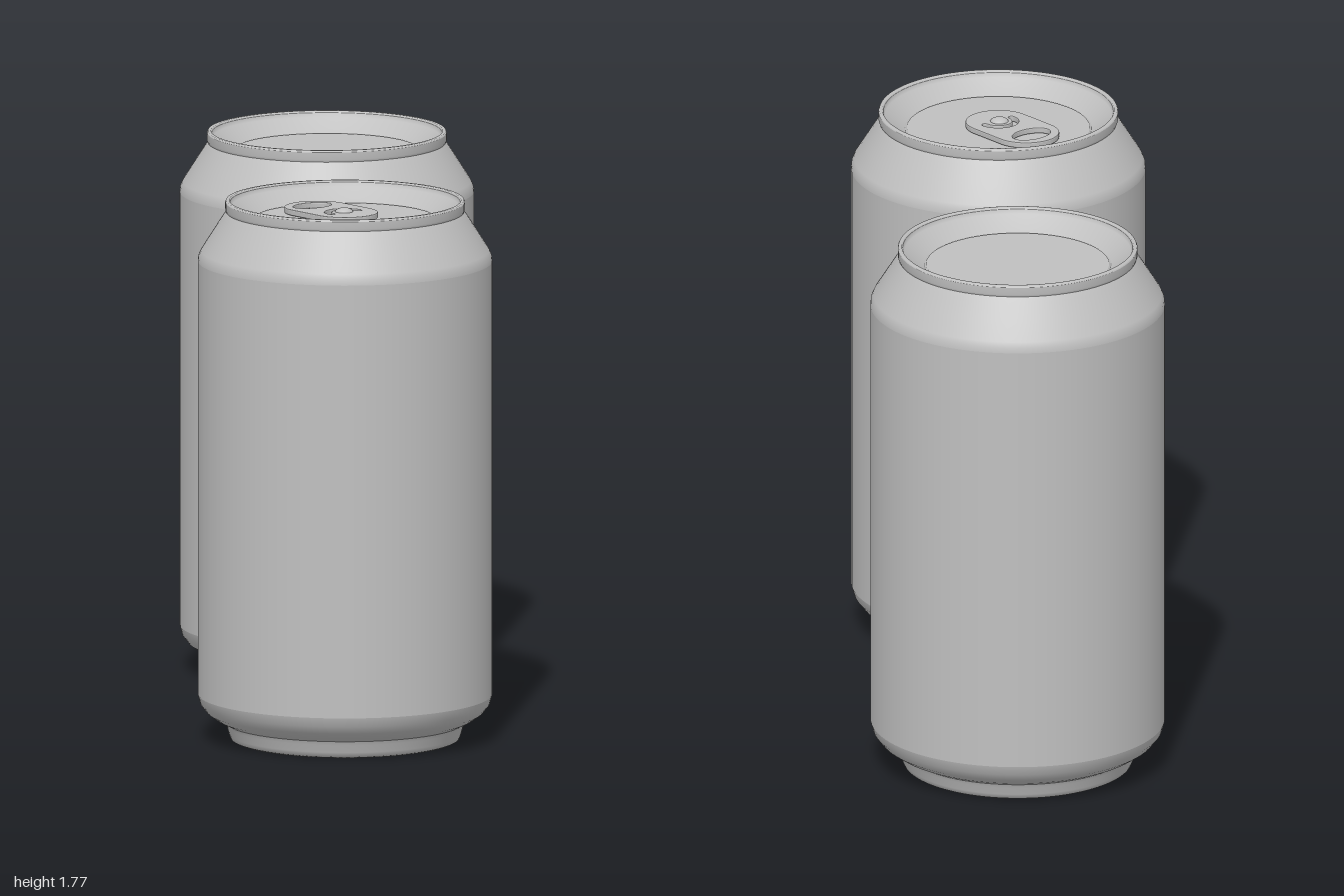
import * as THREE from 'three';

const metal = new THREE.MeshStandardMaterial({ color: 0xc0c0c0 });
metal.name = 'aluminium';

// Each profile is smooth; creases fall between profiles. Points run from the base centre, outwards, up and in.
const PROFILES = {
  baseDome: [[0, 0.15], [0.08, 0.146], [0.16, 0.132], [0.23, 0.108], [0.29, 0.074], [0.325, 0.044], [0.343, 0.018]],
  footRing: [[0.343, 0.018], [0.349, 0.006], [0.36, 0], [0.371, 0.005], [0.377, 0.02], [0.384, 0.045], [0.39, 0.058]],
  lowerCurve: [[0.39, 0.058], [0.42, 0.073], [0.45, 0.094], [0.47, 0.12], [0.478, 0.15]],
  wall: [[0.478, 0.15], [0.478, 1.575]],
  shoulder: [[0.478, 1.575], [0.476, 1.592], [0.468, 1.61], [0.43, 1.67], [0.398, 1.72], [0.386, 1.737]],
  rimSide: [[0.386, 1.737], [0.389, 1.745], [0.389, 1.769]],
  rimTop: [[0.389, 1.769], [0.386, 1.775], [0.376, 1.775], [0.373, 1.769]],
  lidSlope: [[0.373, 1.769], [0.368, 1.755], [0.304, 1.711]],
  lidGroove: [[0.304, 1.711], [0.301, 1.708], [0.297, 1.714]],
  lidPanel: [[0.297, 1.714], [0, 1.714]],
};

function makeCan(name) {
  const can = new THREE.Group();
  can.name = name;
  for (const [part, points] of Object.entries(PROFILES)) {
    const geometry = new THREE.LatheGeometry(points.map(([r, y]) => new THREE.Vector2(r, y)), 96);
    const mesh = new THREE.Mesh(geometry, metal);
    mesh.name = part;
    can.add(mesh);
  }
  return can;
}

function makePullTab() {
  const tab = new THREE.Group();
  tab.name = 'pullTab';

  // rounded plate, drawn with shape y pointing to the back
  const w = 0.104, straight = 0.068;
  const shape = new THREE.Shape();
  shape.absarc(0, straight, w, 0, Math.PI, false);
  shape.absarc(0, -straight, w, Math.PI, Math.PI * 2, false);
  shape.closePath();

  // finger hole
  const finger = new THREE.Path();
  finger.absellipse(0, 0.095, 0.075, 0.05, 0, Math.PI * 2, true, 0);
  shape.holes.push(finger);

  // arched slot round the rivet
  const slot = new THREE.Path();
  const sy = -0.07;
  slot.absarc(0, sy, 0.07, 0, Math.PI, false);
  slot.absarc(-0.056, sy, 0.014, Math.PI, Math.PI * 2, false);
  slot.absarc(0, sy, 0.042, Math.PI, 0, true);
  slot.absarc(0.056, sy, 0.014, Math.PI, Math.PI * 2, false);
  shape.holes.push(slot);

  const plate = new THREE.Mesh(new THREE.ExtrudeGeometry(shape, {
    depth: 0.012, curveSegments: 24,
    bevelThickness: 0.004, bevelSize: 0.004, bevelSegments: 2,
  }), metal);
  plate.name = 'tabPlate';
  plate.rotation.x = -Math.PI / 2;
  plate.position.y = 0.006;
  tab.add(plate);

  // domed rivet
  const rivet = new THREE.Mesh(new THREE.SphereGeometry(0.03, 24, 10, 0, Math.PI * 2, 0, Math.PI / 2), metal);
  rivet.name = 'rivet';
  rivet.scale.y = 0.5;
  rivet.position.set(0, 0.02, 0.065);
  tab.add(rivet);

  tab.position.set(0, 1.714, -0.07);
  return tab;
}

export function createModel() {
  const model = new THREE.Group();
  model.name = 'drinkCans';

  const front = makeCan('frontCan');
  front.position.set(-0.406, 0, 0.522);
  front.add(makePullTab());

  const back = makeCan('backCan');
  back.position.set(0.406, 0, -0.522);

  model.add(front, back);
  return model;
}
